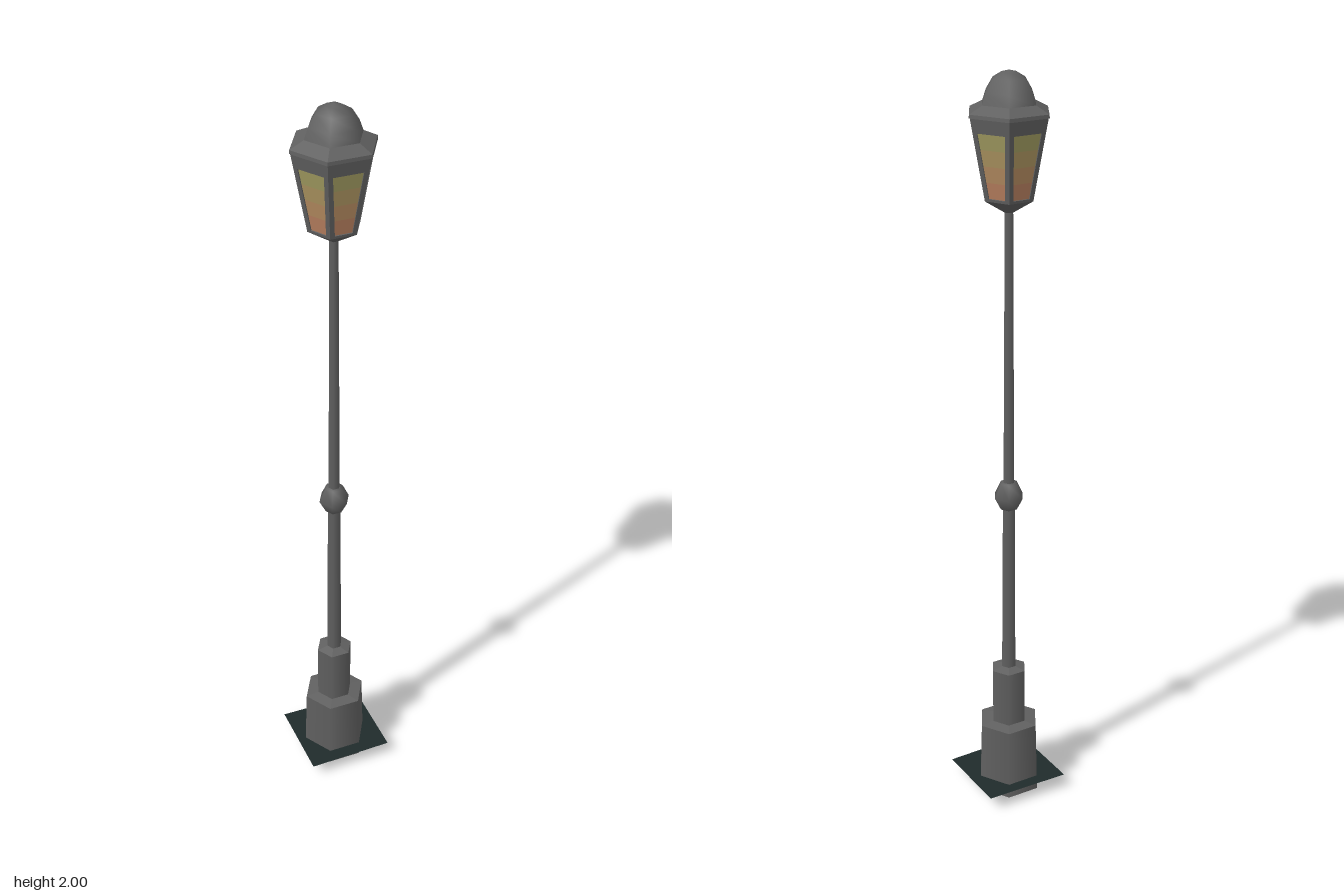
import * as THREE from 'three';

const iron = new THREE.MeshStandardMaterial({ color: 0x606060, side: THREE.DoubleSide });
const ironFlat = new THREE.MeshStandardMaterial({ color: 0x606060, side: THREE.DoubleSide, flatShading: true });
const slab = new THREE.MeshStandardMaterial({ color: 0x1f2b2b, side: THREE.DoubleSide });
const glassColors = [0xb8805f, 0xb48b60, 0xac9460, 0xa09a60];
const glass = glassColors.map((color) => new THREE.MeshStandardMaterial({ color, side: THREE.DoubleSide }));

function add(parent, name, geometry, material) {
  const mesh = new THREE.Mesh(geometry, material);
  mesh.name = name;
  parent.add(mesh);
  return mesh;
}

// Six-sided turned part with corners on the x axis; profile is [radius, y] from bottom to top
function hex(parent, name, profile, material = iron) {
  const points = profile.map(([r, y]) => new THREE.Vector2(r, y));
  return add(parent, name, new THREE.LatheGeometry(points, 6, Math.PI / 6), material);
}

// Lantern walls: six leaning trapezoids
const LOW = 1.69, HIGH = 1.895, R_LOW = 0.068, R_HIGH = 0.108;
const APOTHEM = Math.cos(Math.PI / 6);
const lean = Math.atan(((R_HIGH - R_LOW) * APOTHEM) / (HIGH - LOW));
const slant = (HIGH - LOW) / Math.cos(lean);
const halfWidth = (t) => (R_LOW + ((R_HIGH - R_LOW) * t) / slant) / 2;

function trapezoid(t0, t1, inset, Type) {
  const a = halfWidth(t0) - inset, b = halfWidth(t1) - inset;
  return new Type([[-a, t0], [a, t0], [b, t1], [-b, t1]].map(([x, y]) => new THREE.Vector2(x, y)));
}

function place(geometry, depth, side) {
  return geometry
    .translate(0, 0, -depth)
    .rotateX(lean)
    .translate(0, LOW, R_LOW * APOTHEM)
    .rotateY((side * Math.PI) / 3);
}

function lanternWall(side) {
  const wall = new THREE.Group();
  wall.name = 'lanternWall';
  const g0 = 0.007, g1 = 0.172, inset = 0.012;
  const frame = trapezoid(0, slant, 0, THREE.Shape);
  frame.holes.push(trapezoid(g0, g1, inset, THREE.Path));
  const frameGeometry = new THREE.ExtrudeGeometry(frame, { depth: 0.006, bevelEnabled: false });
  add(wall, 'paneFrame', place(frameGeometry, 0.006, side), ironFlat);
  // Glass in bands, warm at the bottom and paler at the top
  const step = (g1 - g0) / glass.length;
  glass.forEach((material, i) => {
    const band = trapezoid(g0 + i * step, g0 + (i + 1) * step, inset, THREE.Shape);
    add(wall, 'glassPane', place(new THREE.ShapeGeometry(band), 0.003, side), material);
  });
  return wall;
}

export function createModel() {
  const model = new THREE.Group();
  model.name = 'streetLamp';

  // Thin ground plate, a little above the open foot of the base
  const plate = new THREE.Shape([[-0.118, -0.115], [0.118, -0.11], [0.118, 0.112], [-0.118, 0.117]]
    .map(([x, y]) => new THREE.Vector2(x, y)));
  add(model, 'groundPlate', new THREE.ShapeGeometry(plate).rotateX(-Math.PI / 2).translate(0, 0.042, 0), slab);

  const lamp = new THREE.Group();
  lamp.name = 'lamp';
  lamp.position.set(-0.004, 0, -0.003);
  model.add(lamp);

  // Base and collar
  hex(lamp, 'base', [[0.092, 0], [0.086, 0.205]]);
  hex(lamp, 'baseTop', [[0.086, 0.205], [0.05, 0.21]], ironFlat);
  hex(lamp, 'collar', [[0.05, 0.205], [0.05, 0.37]]);
  hex(lamp, 'collarTop', [[0.05, 0.37], [0.019, 0.378]], ironFlat);

  // Post with a knob halfway
  hex(lamp, 'lowerPost', [[0.021, 0.37], [0.018, 0.87]]);
  hex(lamp, 'knob', [[0.016, 0.853], [0.024, 0.855], [0.042, 0.89], [0.024, 0.928], [0.012, 0.931]]);
  hex(lamp, 'upperPost', [[0.016, 0.92], [0.012, 1.67]]);

  // Lantern
  hex(lamp, 'lanternFloor', [[0.012, 1.655], [0.068, 1.69]]);
  hex(lamp, 'lanternFloorInside', [[0.068, 1.69], [0, 1.691]], ironFlat);
  for (let side = 0; side < 6; side++) lamp.add(lanternWall(side));
  hex(lamp, 'eaves', [[0.1, 1.893], [0.111, 1.895], [0.11, 1.904]], ironFlat);
  hex(lamp, 'roof', [[0.11, 1.904], [0.074, 1.922]], ironFlat);
  hex(lamp, 'dome', [[0.074, 1.922], [0.064, 1.95], [0.045, 1.98], [0.02, 1.995], [0, 2]]);

  return model;
}
